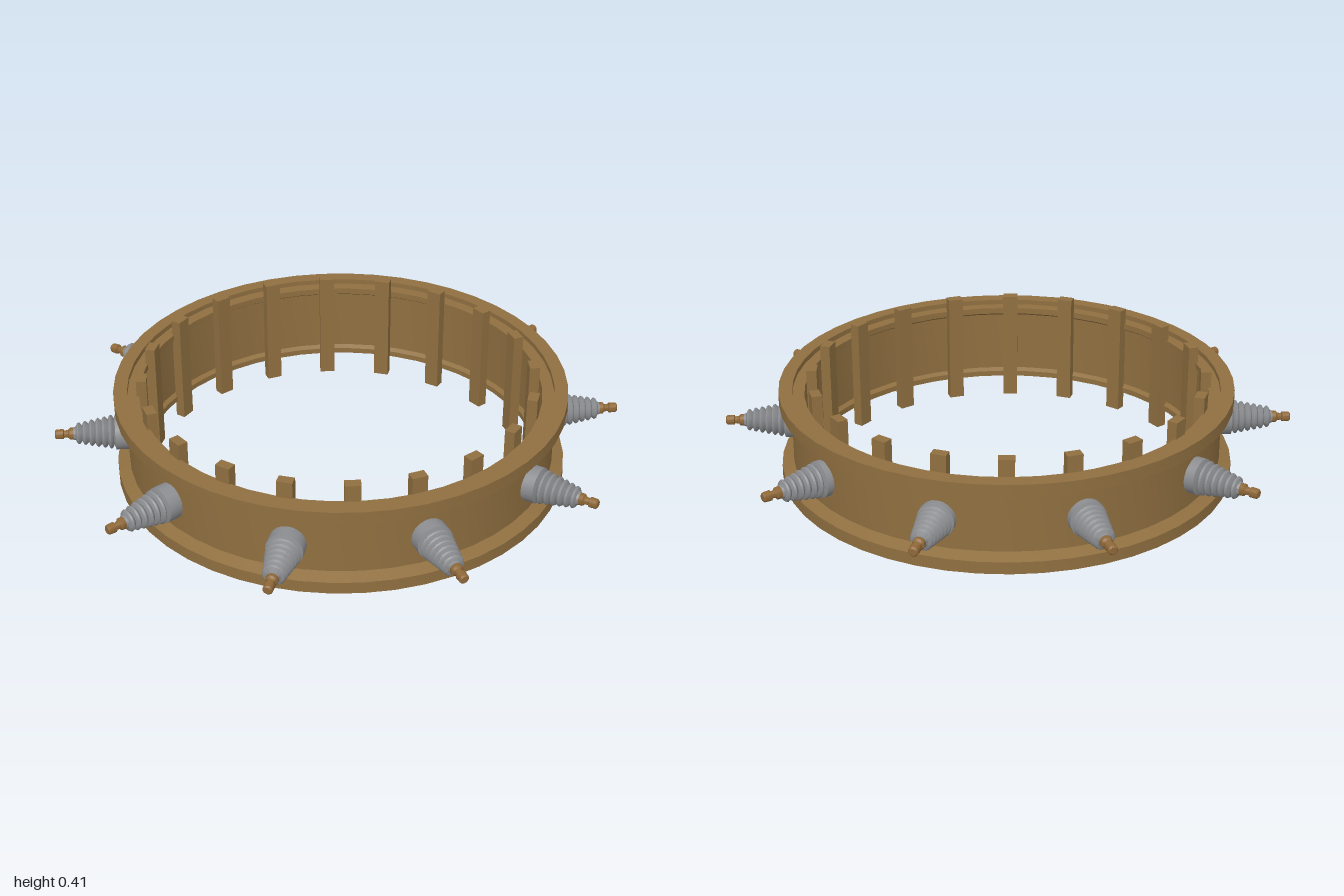
import * as THREE from 'three';
import { toCreasedNormals } from 'three/addons/utils/BufferGeometryUtils.js';

const bronze = new THREE.MeshStandardMaterial({ color: 0x8f6f40 });
bronze.name = 'bronze';
const copper = new THREE.MeshStandardMaterial({ color: 0x8f6838 });
copper.name = 'copper';
const grey = new THREE.MeshStandardMaterial({ color: 0x8c8d90 });
grey.name = 'insulator grey';

// Surface of revolution with crisp edges; points are [radius, height]
function lathe(points, segments) {
  const geo = new THREE.LatheGeometry(points.map(([r, y]) => new THREE.Vector2(r, y)), segments);
  return toCreasedNormals(geo, 0.5);
}

function named(name, geo, material) {
  const mesh = new THREE.Mesh(geo, material);
  mesh.name = name;
  return mesh;
}

export function createModel() {
  const model = new THREE.Group();
  model.name = 'ringAssembly';

  // Flanged ring: outer face upward, then inner face downward
  const ring = named('flangedRing', lathe([
    [0.795, 0.044], [0.795, 0.087], [0.753, 0.103],
    [0.753, 0.304], [0.795, 0.32], [0.795, 0.365],
    [0.747, 0.365], [0.747, 0.347], [0.706, 0.347], [0.706, 0.325],
    [0.721, 0.315], [0.721, 0.092],
    [0.706, 0.082], [0.706, 0.062], [0.747, 0.062], [0.747, 0.044], [0.795, 0.044],
  ], 48), bronze);
  ring.position.set(-0.003, 0, -0.016);
  model.add(ring);

  // Upright bars around the inside
  const bars = new THREE.Group();
  bars.name = 'innerBars';
  bars.position.set(-0.008, 0.203, -0.01);
  const barGeo = new THREE.BoxGeometry(0.036, 0.406, 0.054).translate(0.688, 0, 0);
  for (let i = 0; i < 20; i++) {
    const bar = named('innerBar', barGeo, bronze);
    bar.rotation.y = (i * Math.PI) / 10;
    bars.add(bar);
  }
  model.add(bars);

  // Ribbed insulator, tapering outward
  const profile = [[0, 0.74], [0.063, 0.74], [0.063, 0.788], [0.046, 0.794]];
  const ribs = 6;
  for (let i = 0; i < ribs; i++) {
    const x = 0.797 + i * 0.0225;
    const r = 0.06 - i * 0.0042;
    profile.push([r - 0.004, x + 0.002], [r, x + 0.007], [r - 0.004, x + 0.013], [r - 0.015, x + 0.018]);
  }
  profile.push([0.022, 0.935], [0, 0.935]);
  const insulatorGeo = lathe(profile, 20).rotateZ(-Math.PI / 2);

  // Terminal with collar, neck and knob
  const terminalGeo = lathe([
    [0, 0.93], [0.021, 0.93], [0.021, 0.948], [0.014, 0.954],
    [0.012, 0.968], [0.018, 0.971], [0.017, 0.995], [0.012, 1], [0, 1],
  ], 14).rotateZ(-Math.PI / 2);

  for (let i = 0; i < 10; i++) {
    const plug = new THREE.Group();
    plug.name = 'insulatedTerminal';
    plug.add(named('ribbedInsulator', insulatorGeo, grey), named('terminalTip', terminalGeo, copper));
    plug.position.y = 0.208;
    plug.rotation.y = 0.024 + (i * Math.PI) / 5;
    model.add(plug);
  }
  return model;
}
